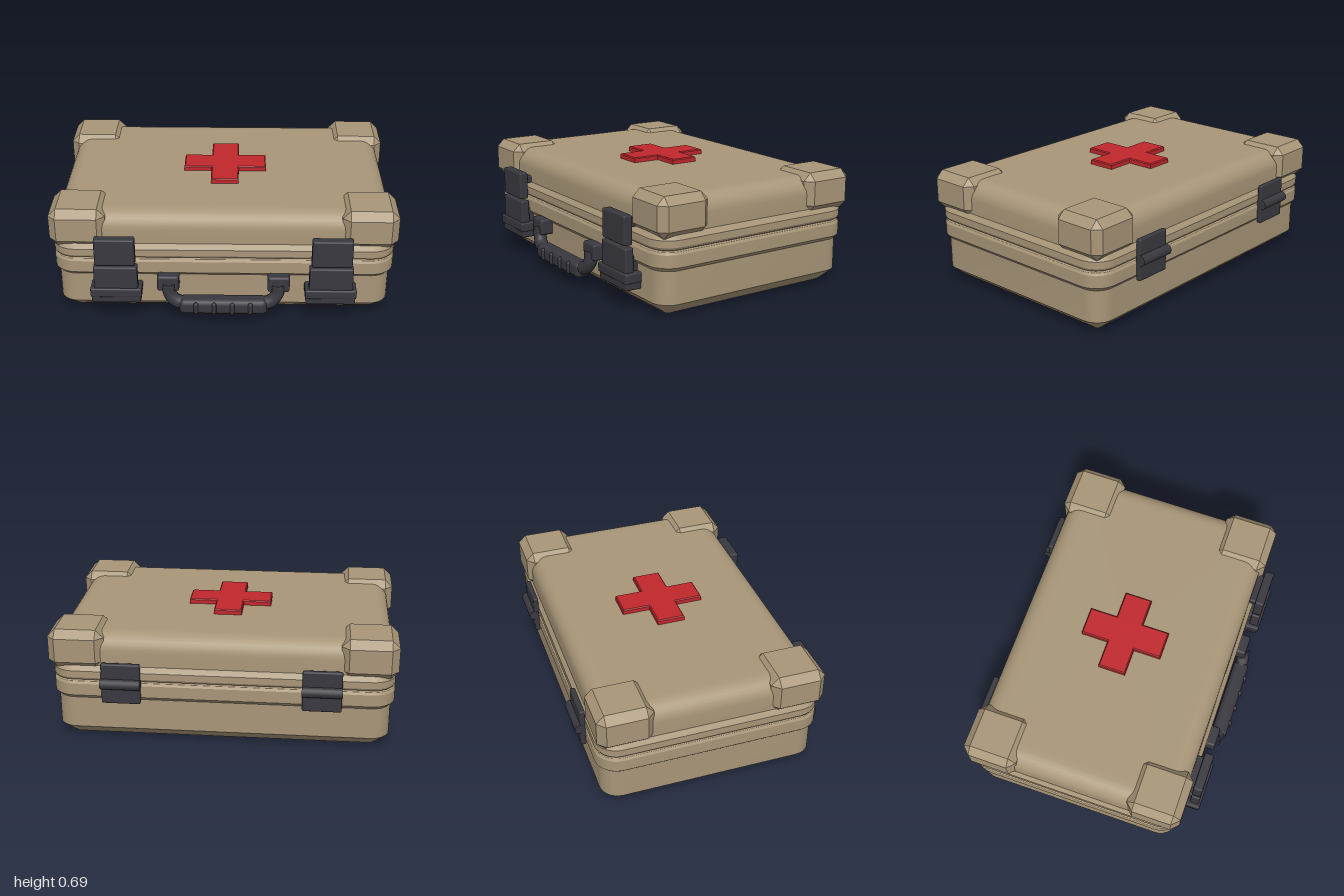
import * as THREE from 'three';
import { toCreasedNormals } from 'three/addons/utils/BufferGeometryUtils.js';
import { RoundedBoxGeometry } from 'three/addons/geometries/RoundedBoxGeometry.js';
import { ConvexGeometry } from 'three/addons/geometries/ConvexGeometry.js';

const HX = 0.968, HZ = 0.638, CZ = -0.023; // half width, half depth and z centre of the shell

// Closed shell made of stacked rounded rectangles; rows are [y, outward offset]
function shellGeometry(rows) {
  const seg = 7, n = 4 * (seg + 1), pos = [], idx = [];
  for (const [y, e] of rows) {
    const r = Math.max(0.012, 0.11 + e);
    for (let q = 0; q < 4; q++) {
      const sx = q === 0 || q === 3 ? 1 : -1, sz = q < 2 ? -1 : 1;
      for (let k = 0; k <= seg; k++) {
        const a = (q + k / seg) * Math.PI / 2;
        pos.push(sx * (HX + e - r) + r * Math.cos(a), y, CZ + sz * (HZ + e - r) - r * Math.sin(a));
      }
    }
  }
  const last = rows.length - 1, bottom = n * rows.length, top = bottom + 1;
  pos.push(0, rows[0][0], CZ, 0, rows[last][0], CZ);
  for (let i = 0; i < n; i++) {
    const k = (i + 1) % n;
    idx.push(bottom, k, i, top, last * n + i, last * n + k);
    for (let j = 0; j < last; j++) {
      const a = j * n + i, b = j * n + k;
      idx.push(a, b, b + n, a, b + n, a + n);
    }
  }
  const g = new THREE.BufferGeometry();
  g.setAttribute('position', new THREE.Float32BufferAttribute(pos, 3));
  g.setIndex(idx);
  return toCreasedNormals(g, 0.5);
}

// Box with every edge chamfered by c
function chamferBox(w, h, d, c) {
  const pts = [], s = [w / 2, h / 2, d / 2];
  for (const x of [-1, 1]) for (const y of [-1, 1]) for (const z of [-1, 1])
    for (let axis = 0; axis < 3; axis++) {
      const v = [x, y, z].map((sign, i) => sign * (s[i] - (i === axis ? 0 : c)));
      pts.push(new THREE.Vector3(...v));
    }
  return new ConvexGeometry(pts);
}

export function createModel() {
  const tan = new THREE.MeshStandardMaterial({ name: 'tan shell', color: 0xa89678 });
  const dark = new THREE.MeshStandardMaterial({ name: 'dark fittings', color: 0x38383f });
  const red = new THREE.MeshStandardMaterial({ name: 'red emblem', color: 0xc1272d });

  const model = new THREE.Group();
  model.name = 'medicalCase';
  const add = (parent, name, geo, mat, x = 0, y = 0, z = 0) => {
    const m = new THREE.Mesh(geo, mat);
    m.name = name;
    m.position.set(x, y, z);
    parent.add(m);
    return m;
  };
  const group = (name, x = 0) => {
    const g = new THREE.Group();
    g.name = name;
    g.position.x = x;
    model.add(g);
    return g;
  };
  // Rounded block given by its width and its y and z ranges
  const block = (parent, name, x, w, y0, y1, z0, z1, r = 0.01) =>
    add(parent, name, new RoundedBoxGeometry(w, y1 - y0, z1 - z0, 2, r), dark, x, (y0 + y1) / 2, (z0 + z1) / 2);

  // Lower shell with chamfered foot and raised rim
  add(model, 'baseShell', shellGeometry([
    [0, -0.1], [0, -0.088], [0.03, -0.05], [0.075, 0], [0.265, 0],
    [0.288, 0.022], [0.36, 0.022], [0.374, 0.014], [0.38, 0.002],
  ]), tan);

  // Lid with rim and softly rounded top edge
  const lidRows = [[0.38, 0.002], [0.386, 0.014], [0.4, 0.022], [0.44, 0.022], [0.47, 0]];
  const R = 0.1;
  for (let k = 0; k <= 7; k++) {
    const a = k / 7 * Math.PI / 2;
    lidRows.push([0.657 - R + R * Math.sin(a), -R + R * Math.cos(a)]);
  }
  lidRows.push([0.657, -R - 0.03]);
  add(model, 'lid', shellGeometry(lidRows), tan);

  // Corner guards
  for (const sx of [-1, 1]) for (const sz of [-1, 1])
    add(model, 'cornerGuard', chamferBox(0.325, 0.232, 0.325, 0.045), tan, sx * 0.8375, 0.564, CZ + sz * 0.5015);

  // Cross on the lid
  const a = 0.077, b = 0.242;
  const cross = new THREE.Shape([
    [a, a], [a, b], [-a, b], [-a, a], [-b, a], [-b, -a],
    [-a, -a], [-a, -b], [a, -b], [a, -a], [b, -a], [b, a],
  ].map(p => new THREE.Vector2(...p)));
  const crossGeo = new THREE.ExtrudeGeometry(cross, {
    depth: 0.033, bevelEnabled: true, bevelSize: 0.006, bevelThickness: 0.006, bevelSegments: 1,
  });
  crossGeo.rotateX(-Math.PI / 2);
  add(model, 'cross', crossGeo, red, 0, 0.648, -0.026);

  for (const s of [-1, 1]) {
    // Front latches
    const latch = group(s > 0 ? 'leftLatch' : 'rightLatch', s * 0.62);
    block(latch, 'latchCatch', 0, 0.232, 0.372, 0.54, 0.65, 0.706);
    block(latch, 'latchCatchMount', 0, 0.19, 0.465, 0.51, 0.59, 0.66);
    block(latch, 'latchLever', 0, 0.252, 0.2, 0.36, 0.65, 0.706);
    block(latch, 'latchLeverMount', 0, 0.21, 0.15, 0.31, 0.6, 0.66);
    block(latch, 'latchFoot', 0, 0.298, 0.165, 0.222, 0.61, 0.718);
    block(latch, 'latchLip', 0, 0.286, 0.125, 0.182, 0.61, 0.712);

    // Rear hinges
    const hinge = group(s > 0 ? 'leftHinge' : 'rightHinge', s * 0.575);
    block(hinge, 'upperLeaf', 0, 0.226, 0.385, 0.502, -0.712, -0.68);
    block(hinge, 'lowerLeaf', 0, 0.226, 0.256, 0.375, -0.712, -0.68);
    const pin = new THREE.CylinderGeometry(0.031, 0.031, 0.23, 16).rotateZ(Math.PI / 2);
    add(hinge, 'hingePin', pin, dark, 0, 0.38, -0.714);
  }

  // Carrying handle
  const handle = group('handle');
  for (const s of [-1, 1]) {
    block(handle, 'handleMount', s * 0.32, 0.128, 0.19, 0.29, 0.6, 0.69, 0.015);
    const path = new THREE.CatmullRomCurve3([
      [0.315, 0.24, 0.668], [0.314, 0.18, 0.672], [0.285, 0.135, 0.68], [0.22, 0.108, 0.685],
    ].map(([x, y, z]) => new THREE.Vector3(s * x, y, z)));
    add(handle, 'handleArm', new THREE.TubeGeometry(path, 14, 0.04, 12), dark);
  }
  block(handle, 'grip', 0, 0.514, 0.057, 0.152, 0.637, 0.733, 0.03);
  for (let i = 0; i < 4; i++)
    block(handle, 'gripRib', -0.158 + i * 0.105, 0.026, 0.068, 0.142, 0.71, 0.745, 0.012);

  return model;
}
